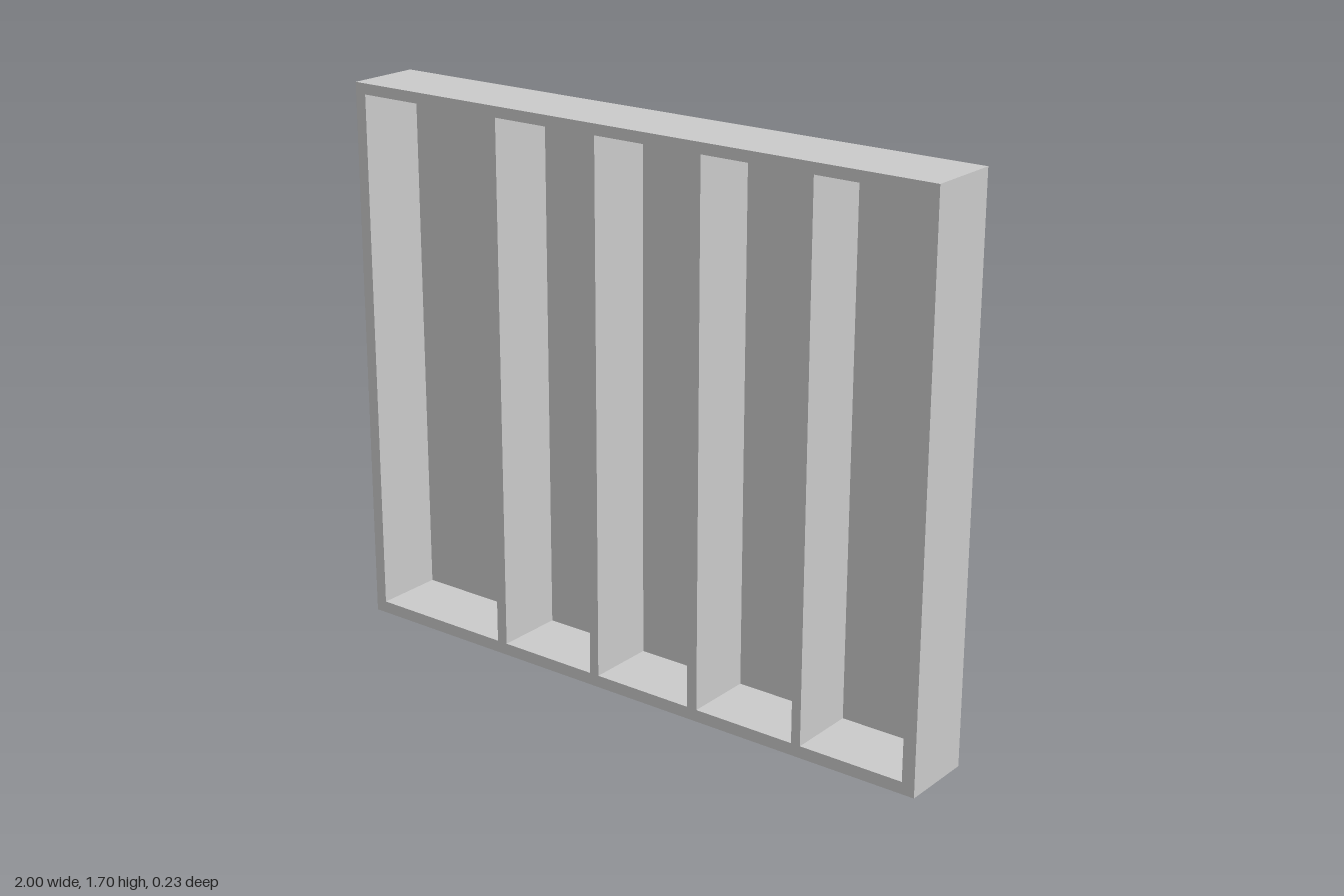
import * as THREE from 'three';

const W = 2, H = 1.7, D = 0.232;      // overall size
const PANEL = 0.016;                  // rebate depth for the back panel
const RIM = 0.012;                    // frame lip around the back panel
const BOTTOM = 0.037, TOP = 1.667;    // inner height limits
// left and right edge of each compartment, along x
const BAYS = [[-0.963, -0.49], [-0.455, -0.126], [-0.095, 0.233], [0.267, 0.597], [0.627, 0.96]];

function rect(Type, x0, x1, y0, y1) {
  const r = new Type();
  r.moveTo(x0, y0);
  r.lineTo(x1, y0);
  r.lineTo(x1, y1);
  r.lineTo(x0, y1);
  r.closePath();
  return r;
}

export function createModel() {
  const group = new THREE.Group();
  group.name = 'dividedShelfFrame';
  const material = new THREE.MeshStandardMaterial({ color: 0xcccccc });

  const add = (name, geometry, z) => {
    const mesh = new THREE.Mesh(geometry, material);
    mesh.name = name;
    mesh.position.z = z;
    group.add(mesh);
  };
  const outline = (holes) => {
    const shape = rect(THREE.Shape, -W / 2, W / 2, 0, H);
    shape.holes = holes;
    return shape;
  };
  const extrude = (shape, depth) => new THREE.ExtrudeGeometry(shape, { depth, bevelEnabled: false });

  // frame with upright dividers
  const bays = BAYS.map(([x0, x1]) => rect(THREE.Path, x0, x1, BOTTOM, TOP));
  add('frameWithDividers', extrude(outline(bays), D - PANEL), -D / 2 + PANEL);

  // narrow lip around the back
  const opening = rect(THREE.Path, -W / 2 + RIM, W / 2 - RIM, RIM, H - RIM);
  add('backLip', extrude(outline([opening]), PANEL), -D / 2);

  // back panel, set slightly into the lip
  const panel = rect(THREE.Shape, -W / 2 + RIM, W / 2 - RIM, RIM, H - RIM);
  add('backPanel', extrude(panel, PANEL - 0.003), -D / 2 + 0.003);

  return group;
}
